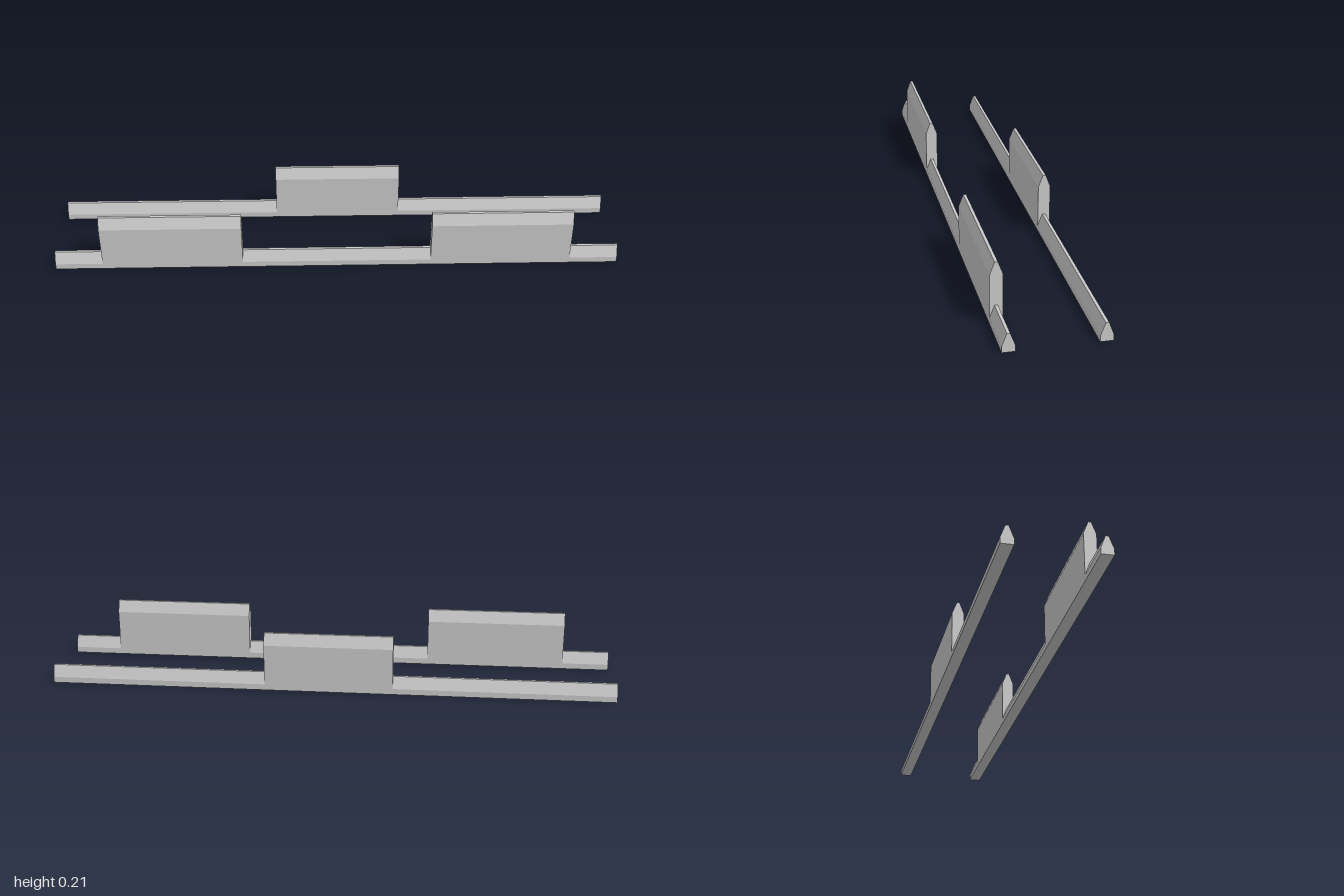
import * as THREE from 'three';

const HALF_WIDTH = 0.021, RIDGE = 0.005, BEVEL = 0.042;
const LOW = 0.063, HIGH = 0.21;

// Six-sided bevelled section at x, listed from the +z foot over the ridge to the -z foot
function section(x, height) {
  const half = [[HALF_WIDTH, 0], [HALF_WIDTH, height - BEVEL], [RIDGE, height]];
  const mirrored = half.map(([z, y]) => [-z, y]).reverse();
  return [...half, ...mirrored].map(([z, y]) => [x, y, z]);
}

// Lofts a rail along x that steps up to full height over each [start, end] block
function railGeometry(blocks) {
  const rings = [section(-1, LOW)];
  for (const [start, end] of blocks) {
    rings.push(section(start, LOW), section(start, HIGH), section(end, HIGH), section(end, LOW));
  }
  rings.push(section(1, LOW));

  const positions = [];
  const tri = (a, b, c) => positions.push(...a, ...b, ...c);

  for (let r = 0; r < rings.length - 1; r++) {
    const a = rings[r], b = rings[r + 1];
    const isStep = a[0][0] === b[0][0];
    for (let i = 0; i < 6; i++) {
      // at a vertical step only the bevels and the ridge have area
      if (isStep && (i < 1 || i > 3)) continue;
      const j = (i + 1) % 6;
      tri(a[i], b[i], b[j]);
      tri(a[i], b[j], a[j]);
    }
  }

  // end caps
  const first = rings[0], last = rings[rings.length - 1];
  for (let i = 1; i < 5; i++) {
    tri(first[0], first[i], first[i + 1]);
    tri(last[0], last[i + 1], last[i]);
  }

  const geometry = new THREE.BufferGeometry();
  geometry.setAttribute('position', new THREE.Float32BufferAttribute(positions, 3));
  geometry.computeVertexNormals();
  return geometry;
}

export function createModel() {
  const group = new THREE.Group();
  group.name = 'railPair';
  const material = new THREE.MeshStandardMaterial({ color: 0xcccccc, flatShading: true });

  // front rail has two raised blocks, back rail one between them
  const rails = [
    ['frontRail', 0.15, [[-0.833, -0.335], [0.333, 0.83]]],
    ['backRail', -0.15, [[-0.22, 0.235]]],
  ];
  for (const [name, z, blocks] of rails) {
    const rail = new THREE.Mesh(railGeometry(blocks), material);
    rail.name = name;
    rail.position.z = z;
    group.add(rail);
  }
  return group;
}
